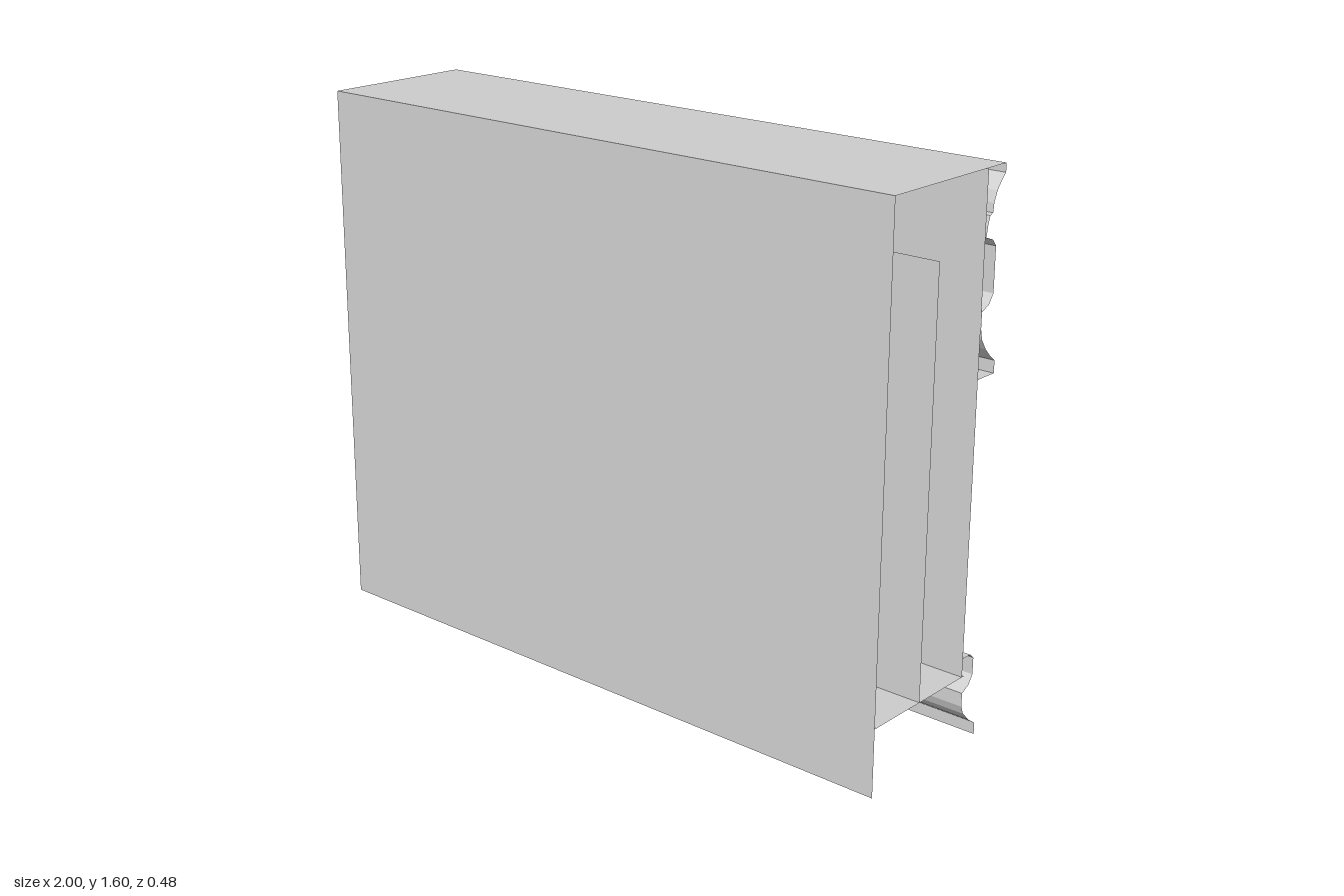
import * as THREE from 'three';

const mat = new THREE.MeshStandardMaterial({ color: 0xcccccc, side: THREE.DoubleSide });
const SILL = 0.2, WALL_Z = -0.16, NICHE_Z = 0.04, R_IN = 0.61, R_OUT = 0.72;

function add(parent, name, geometry, x = 0, y = 0, z = 0) {
  const mesh = new THREE.Mesh(geometry, mat);
  mesh.name = name;
  mesh.position.set(x, y, z);
  parent.add(mesh);
  return mesh;
}

// Open sheet swept along x from a [z, y] profile, with crisp folds
function sheet(profile) {
  const v = [];
  for (let i = 0; i < profile.length - 1; i++) {
    const [z0, y0] = profile[i], [z1, y1] = profile[i + 1];
    v.push(-1, y0, z0, -1, y1, z1, 1, y1, z1, -1, y0, z0, 1, y1, z1, 1, y0, z0);
  }
  const g = new THREE.BufferGeometry();
  g.setAttribute('position', new THREE.Float32BufferAttribute(v, 3));
  g.computeVertexNormals();
  return g;
}

const lathe = (pts, sides) =>
  new THREE.LatheGeometry(pts.map(([r, y]) => new THREE.Vector2(r, y)), sides);

export function createModel() {
  const model = new THREE.Group();
  model.name = 'archedFacade';

  // Shell: plain front and top, niche back and floor, ends left open
  add(model, 'frontAndTopShell', sheet([[-0.24, 1.6], [0.24, 1.6], [0.24, 0]]));
  add(model, 'nicheBackPanel', sheet([[NICHE_Z, 1.4], [NICHE_Z, SILL]]));
  add(model, 'nicheFloor', sheet([[0.24, SILL], [-0.17, SILL]]));

  // Wall with the arched opening
  const wall = new THREE.Shape();
  wall.moveTo(-1, SILL);
  wall.lineTo(-R_IN, SILL);
  wall.absarc(0, SILL, R_IN, Math.PI, 0, true);
  wall.lineTo(1, SILL);
  wall.lineTo(1, 1.6);
  wall.lineTo(-1, 1.6);
  const wallGeo = new THREE.ShapeGeometry(wall, 40);
  wallGeo.rotateY(Math.PI);
  add(model, 'archedWall', wallGeo, 0, 0, WALL_Z);

  // Crown, frieze and lower cornice in one profile
  add(model, 'cornice', sheet([
    [-0.24, 1.6], [-0.24, 1.575], [-0.225, 1.56], [-0.205, 1.535], [-0.193, 1.505],
    [-0.19, 1.48], [-0.178, 1.475], [-0.17, 1.45], [-0.165, 1.42],
    [-0.195, 1.41], [-0.212, 1.39], [-0.212, 1.265], [-0.195, 1.24], [-0.163, 1.225],
    [-0.163, 1.18], [-0.17, 1.15], [-0.19, 1.12], [-0.215, 1.095], [-0.235, 1.08],
    [-0.235, 1.045], [WALL_Z, 1.045],
  ]));

  // Base moulding
  add(model, 'baseMoulding', sheet([
    [WALL_Z, 0.255], [-0.195, 0.255], [-0.212, 0.24], [-0.212, 0.19], [-0.195, 0.165],
    [-0.165, 0.15], [-0.165, 0.11], [-0.175, 0.085], [-0.205, 0.055], [-0.235, 0.035], [-0.235, 0],
  ]));

  // Curved reveal of the opening
  const reveal = new THREE.CylinderGeometry(R_IN, R_IN, NICHE_Z - WALL_Z, 48, 1, true, -Math.PI / 2, Math.PI);
  reveal.rotateX(-Math.PI / 2);
  const revealMesh = add(model, 'archReveal', reveal, 0, SILL, (NICHE_Z + WALL_Z) / 2);
  reveal.computeBoundingBox();
  if (reveal.boundingBox.max.y < 0.1) revealMesh.rotation.z = Math.PI;

  // Raised arch surround with softened front edges
  const b = 0.012;
  const ring = new THREE.Shape();
  ring.absarc(0, 0, R_OUT - b, 0, Math.PI, false);
  ring.absarc(0, 0, R_IN + b, Math.PI, 0, true);
  const ringGeo = new THREE.ExtrudeGeometry(ring, {
    depth: 0.028, bevelEnabled: true, bevelThickness: b, bevelSize: b, bevelSegments: 3, curveSegments: 40,
  });
  // Keep the feet flat on the sill and the rear square against the wall
  const p = ringGeo.attributes.position;
  for (let i = 0; i < p.count; i++) {
    p.setY(i, Math.max(0, p.getY(i)));
    p.setZ(i, Math.max(0, p.getZ(i)));
  }
  ringGeo.rotateY(Math.PI);
  add(model, 'archSurround', ringGeo, 0, SILL, WALL_Z);

  // Turned bars reaching the underside of the arch
  const bars = new THREE.Group();
  bars.name = 'bars';
  model.add(bars);
  for (let i = 0; i < 8; i++) {
    const x = (i - 3.5) * 0.14;
    const top = Math.sqrt(R_IN * R_IN - x * x) + 0.024;
    add(bars, 'bar', lathe([
      [0, -0.01], [0.022, -0.01], [0.022, 0], [0.042, 0], [0.046, 0.01], [0.042, 0.022],
      [0.03, 0.026], [0.034, 0.036], [0.03, 0.046], [0.023, 0.05], [0.023, top], [0, top],
    ], 16), x, SILL, -0.07);
  }

  // Studs along the frieze
  const studs = new THREE.Group();
  studs.name = 'friezeStuds';
  model.add(studs);
  const studGeo = lathe([
    [0.026, 0], [0.033, 0.006], [0.033, 0.03], [0.027, 0.04], [0.021, 0.04],
    [0.018, 0.032], [0.014, 0.041], [0, 0.045],
  ], 10).toNonIndexed();
  studGeo.rotateX(-Math.PI / 2);
  studGeo.computeVertexNormals();
  for (let i = 0; i < 7; i++) add(studs, 'stud', studGeo, (i - 3) * 0.293 - 0.005, 1.325, -0.195);

  return model;
}
